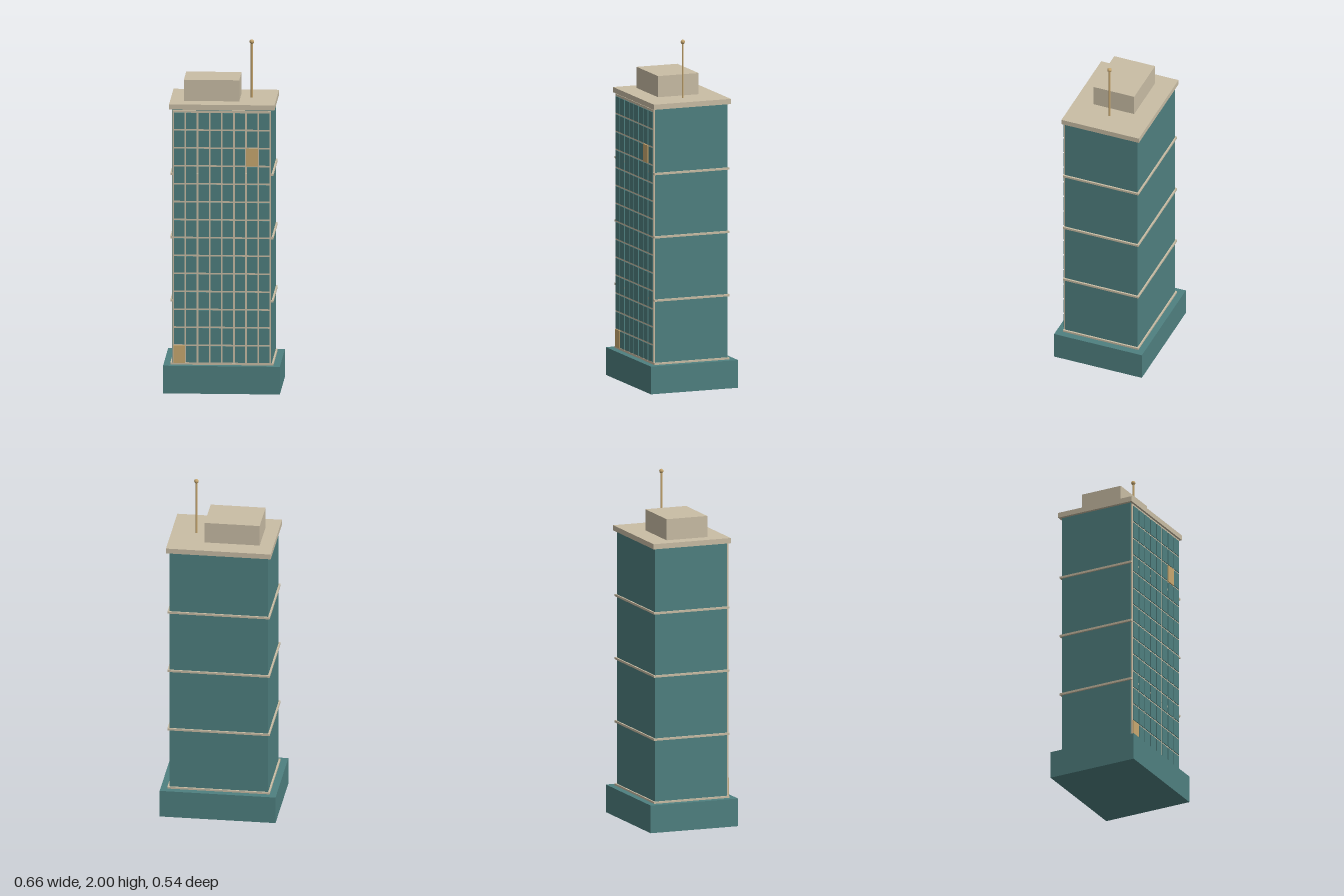
import * as THREE from 'three';

export function createModel() {
  const model = new THREE.Group();
  model.name = 'officeTower';
  const mat = (name, color) => {
    const m = new THREE.MeshStandardMaterial({ color });
    m.name = name;
    return m;
  };
  const teal = mat('tealGlass', 0x4f8080);
  const stone = mat('paleStone', 0xc9bda5);
  const gold = mat('warmGold', 0xc8a870);

  // Box given by its size, centre x and z, and bottom height
  const box = (name, material, w, h, d, x, y, z, parent = model) => {
    const mesh = new THREE.Mesh(new THREE.BoxGeometry(w, h, d), material);
    mesh.name = name;
    mesh.position.set(x, y + h / 2, z);
    parent.add(mesh);
    return mesh;
  };

  // Podium, shaft and roof
  box('podium', teal, 0.664, 0.16, 0.537, 0, 0, 0);
  box('shaft', teal, 0.566, 1.475, 0.444, 0, 0.16, 0);
  box('roofSlab', stone, 0.6, 0.03, 0.474, 0, 1.635, 0);
  box('penthouse', stone, 0.315, 0.122, 0.25, -0.064, 1.665, 0);

  // Ledges around the shaft
  for (let i = 0; i < 4; i++) {
    box('ledge', stone, 0.586, 0.012, 0.462, 0, 0.159 + i * 0.3655, 0);
  }

  // Front curtain wall: pale backing with a grid of raised panes
  const facade = new THREE.Group();
  facade.name = 'curtainWall';
  model.add(facade);
  box('facadeBacking', stone, 0.56, 1.462, 0.008, 0, 0.168, 0.226, facade);
  const cols = 8, rows = 14, stepX = 0.069, stepY = 0.1037;
  for (let r = 0; r < rows; r++) {
    for (let c = 0; c < cols; c++) {
      const lit = (r === 0 && c === 0) || (r === 11 && c === 6);
      const gap = lit ? 0.002 : 0.01;
      box(lit ? 'litWindow' : 'window', lit ? gold : teal,
        stepX - gap, stepY - gap, lit ? 0.008 : 0.006,
        (c - (cols - 1) / 2) * stepX, 0.17 + r * stepY + gap / 2, lit ? 0.233 : 0.232, facade);
    }
  }

  // Antenna with ball tip
  const antenna = new THREE.Group();
  antenna.name = 'antenna';
  antenna.position.set(0.158, 0, 0);
  const mast = new THREE.Mesh(new THREE.CylinderGeometry(0.006, 0.006, 0.322, 8), gold);
  mast.name = 'mast';
  mast.position.y = 1.826;
  const tip = new THREE.Mesh(new THREE.SphereGeometry(0.013, 8, 6), gold);
  tip.name = 'mastTip';
  tip.position.y = 1.987;
  antenna.add(mast, tip);
  model.add(antenna);

  return model;
}
